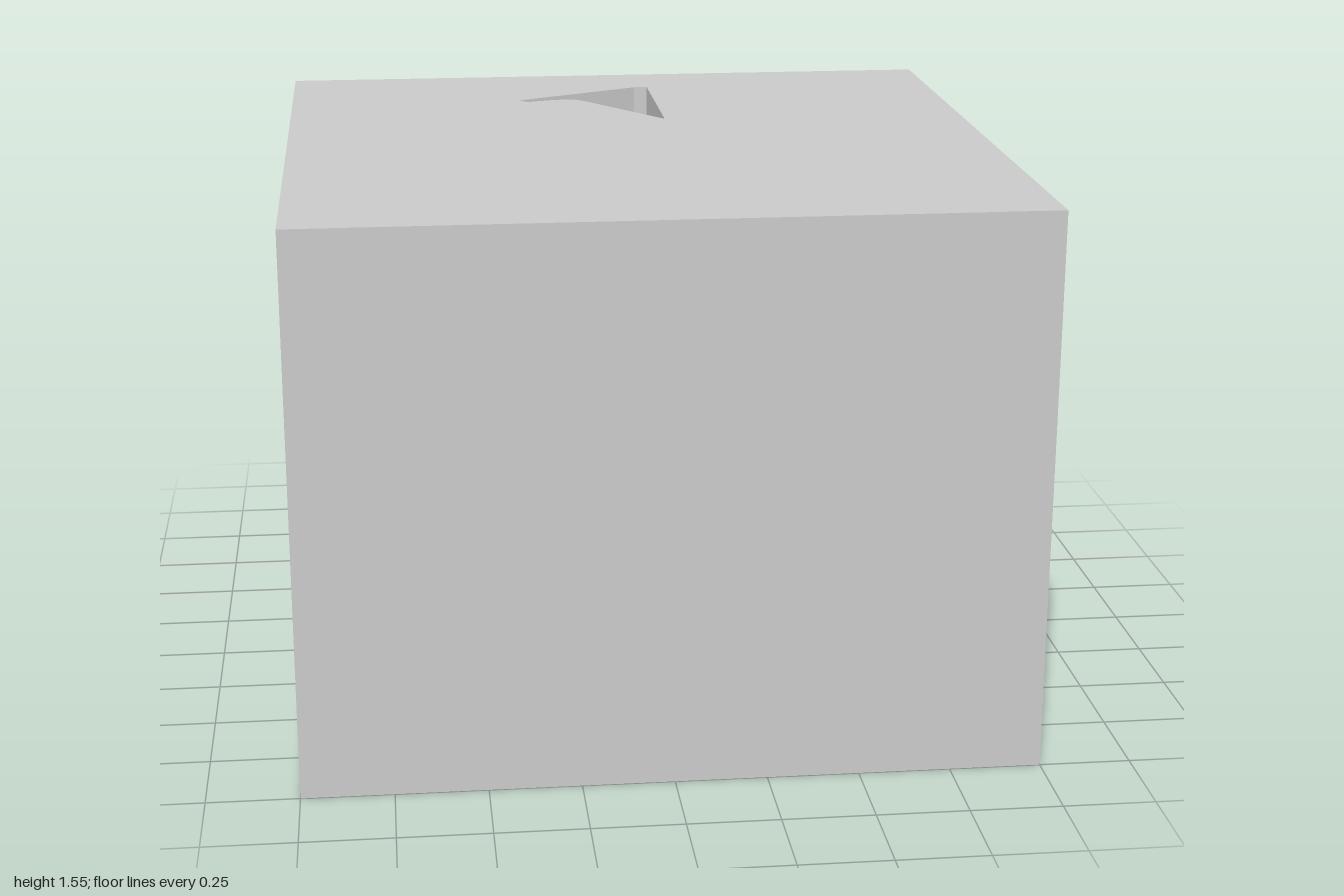
import * as THREE from 'three';

const HEIGHT = 1.55;
const DEPTH = 0.5;

// Pocket outline in plan, x against -z: a straight-backed fin with a curved toe
function pocketOutline() {
  const path = new THREE.Path();
  path.moveTo(0.07, 0.78);
  path.lineTo(0.11, 0.78);
  path.lineTo(0.11, 0.27);
  path.lineTo(-0.11, 0.575);
  path.bezierCurveTo(-0.135, 0.61, -0.19, 0.605, -0.28, 0.57);
  path.lineTo(-0.305, 0.60);
  path.closePath();
  return path.getPoints(10).slice(0, -1);
}

export function createModel() {
  const group = new THREE.Group();
  const material = new THREE.MeshStandardMaterial({ color: 0xcccccc });
  const add = (name, geometry) => {
    const mesh = new THREE.Mesh(geometry, material);
    mesh.name = name;
    group.add(mesh);
  };
  const flat = (shape, y) =>
    new THREE.ShapeGeometry(shape).rotateX(-Math.PI / 2).translate(0, y, 0);

  // Sides and base: a box without its top face
  const body = new THREE.BoxGeometry(2, HEIGHT, 2).translate(0, HEIGHT / 2, 0);
  const index = Array.from(body.index.array);
  index.splice(12, 6);
  body.setIndex(index);
  body.clearGroups();
  add('blockBody', body);

  // Top face with the pocket opening
  const outline = pocketOutline();
  const top = new THREE.Shape([
    new THREE.Vector2(-1, -1), new THREE.Vector2(1, -1),
    new THREE.Vector2(1, 1), new THREE.Vector2(-1, 1),
  ]);
  top.holes.push(new THREE.Path(outline));
  add('blockTop', flat(top, HEIGHT));

  // Pocket walls, facing inward
  const bottom = HEIGHT - DEPTH;
  const positions = [];
  outline.forEach((a, i) => {
    const b = outline[(i + 1) % outline.length];
    positions.push(
      a.x, HEIGHT, -a.y, a.x, bottom, -a.y, b.x, HEIGHT, -b.y,
      b.x, HEIGHT, -b.y, a.x, bottom, -a.y, b.x, bottom, -b.y,
    );
  });
  const walls = new THREE.BufferGeometry();
  walls.setAttribute('position', new THREE.Float32BufferAttribute(positions, 3));
  walls.computeVertexNormals();
  add('pocketWalls', walls);

  // Pocket floor
  add('pocketFloor', flat(new THREE.Shape(outline), bottom));

  return group;
}
